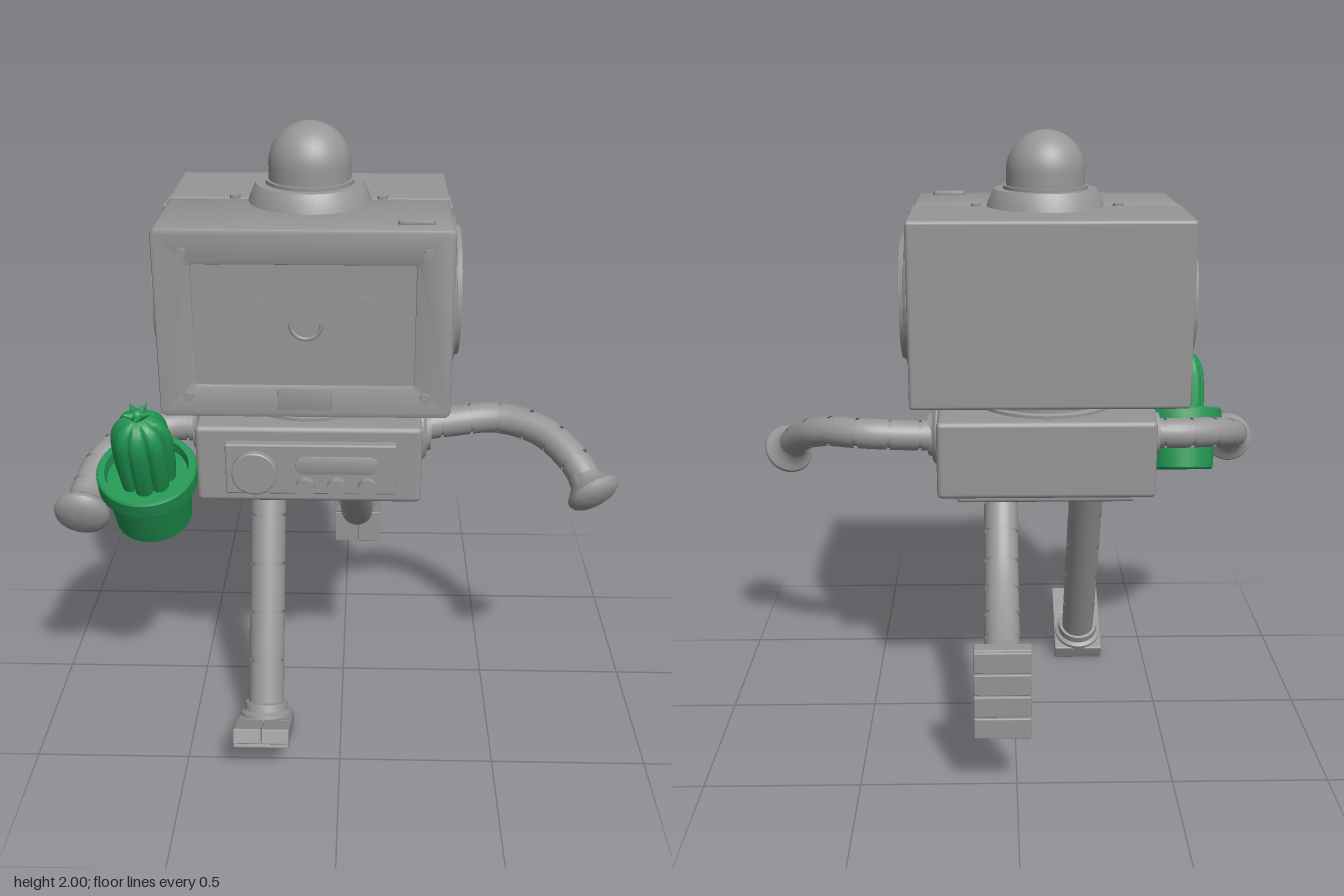
import * as THREE from 'three';
import { toCreasedNormals } from 'three/addons/utils/BufferGeometryUtils.js';
import { RoundedBoxGeometry } from 'three/addons/geometries/RoundedBoxGeometry.js';

const V = (x, y, z) => new THREE.Vector3(x, y, z);
const metal = new THREE.MeshStandardMaterial({ color: 0x969696, side: THREE.DoubleSide });
const green = new THREE.MeshStandardMaterial({ color: 0x209452, side: THREE.DoubleSide });
const UP = V(0, 1, 0), FRONT = V(0, 0, 1);
const CX = -0.105, CZ = 0.045; // centre of head and torso

function add(parent, name, geometry, pos = V(0, 0, 0), material = metal) {
  const mesh = new THREE.Mesh(geometry, material);
  mesh.name = name;
  mesh.position.copy(pos);
  parent.add(mesh);
  return mesh;
}

function box(parent, name, w, h, d, pos, r = 0.01) {
  return add(parent, name, new RoundedBoxGeometry(w, h, d, 2, r), pos);
}

// Turned part: profile [radius, height] pairs, axis pointing along dir
function turned(parent, name, profile, pos, dir = UP, material = metal, sides = 40) {
  const lathe = new THREE.LatheGeometry(profile.map(p => new THREE.Vector2(...p)), sides);
  const mesh = add(parent, name, toCreasedNormals(lathe, 0.6), pos, material);
  mesh.quaternion.setFromUnitVectors(UP, dir.clone().normalize());
  return mesh;
}

const disc = (parent, name, r, h, pos, dir = FRONT) =>
  turned(parent, name, [[0, 0], [r, 0], [r, h], [0, h]], pos, dir, metal, 28);

function roundedRect(w, h, r, Type = THREE.Shape) {
  const s = new Type(), x = w / 2, y = h / 2;
  s.moveTo(-x + r, -y);
  s.absarc(x - r, -y + r, r, -Math.PI / 2, 0);
  s.absarc(x - r, y - r, r, 0, Math.PI / 2);
  s.absarc(-x + r, y - r, r, Math.PI / 2, Math.PI);
  s.absarc(-x + r, -y + r, r, Math.PI, Math.PI * 1.5);
  s.closePath();
  return s;
}

function extrude(shape, depth, bevel) {
  return toCreasedNormals(new THREE.ExtrudeGeometry(shape, {
    depth: depth - bevel * 2, bevelThickness: bevel, bevelSize: bevel, bevelOffset: -bevel,
    bevelSegments: 2, curveSegments: 8,
  }).translate(0, 0, bevel), 0.5);
}

// Ribbed hose: short sleeves over a thinner core
function hose(parent, name, points, r, count) {
  const group = new THREE.Group();
  group.name = name;
  parent.add(group);
  const curve = new THREE.CatmullRomCurve3(points.map(p => V(...p)));
  add(group, 'hoseCore', new THREE.TubeGeometry(curve, 48, r * 0.87, 20));
  const gap = 0.005 / curve.getLength();
  for (let i = 0; i < count; i++) {
    const a = i / count + gap, b = (i + 1) / count - gap;
    const part = [0, 1, 2, 3, 4].map(k => curve.getPointAt(a + (b - a) * k / 4));
    add(group, 'hoseSleeve', new THREE.TubeGeometry(new THREE.CatmullRomCurve3(part), 10, r, 24));
  }
  return curve;
}

function arm(parent, name, side, points, shoulder) {
  const curve = hose(parent, name, points, 0.051, 7);
  turned(parent, name + 'Socket', [[0.105, 0], [0.105, 0.012], [0.09, 0.025], [0.075, 0.025], [0.07, 0.04],
    [0.045, 0.04]], shoulder, V(side, 0, 0));
  turned(parent, name + 'Hand', [[0.05, -0.05], [0.055, -0.025], [0.072, -0.005], [0.085, 0.008], [0.087, 0.02],
    [0.08, 0.034], [0.06, 0.047], [0.03, 0.055], [0, 0.057]], curve.getPoint(1), curve.getTangent(1));
}

// Foot: origin on the sole under the ankle, toe along +z
function foot(parent, name, pos, tilt) {
  const g = new THREE.Group();
  g.name = name;
  g.position.copy(pos);
  g.rotation.x = tilt;
  parent.add(g);
  box(g, 'footCore', 0.165, 0.045, 0.285, V(0, 0.031, 0.065), 0.005);
  box(g, 'heel', 0.178, 0.048, 0.172, V(0, 0.037, 0.002), 0.006);
  for (const s of [-1, 1]) box(g, 'toe', 0.0875, 0.048, 0.13, V(s * 0.0452, 0.037, 0.151), 0.004);
  for (let i = 0; i < 4; i++) box(g, 'tread', 0.176, 0.022, 0.069, V(0, 0.011, -0.047 + i * 0.0747), 0.004);
  turned(g, 'ankle', [[0.085, 0.055], [0.085, 0.072], [0.072, 0.08], [0.07, 0.105], [0.05, 0.108]], V(0, 0, 0));
}

function buildHead(root) {
  const head = new THREE.Group();
  head.name = 'head';
  root.add(head);
  const W = 0.864, H = 0.577, Y = 1.4765;
  // Front shell with a window, back shell, and a fine seam between them
  const shell = roundedRect(W, H, 0.02);
  shell.holes.push(roundedRect(0.64, 0.365, 0.006, THREE.Path));
  add(head, 'frontShell', extrude(shell, 0.345, 0.01), V(CX, Y, 0.048));
  box(head, 'backShell', W, H, 0.343, V(CX, Y, -0.1295), 0.012);
  box(head, 'seamCore', W - 0.006, H - 0.006, 0.2, V(CX, Y, CZ), 0.01);
  box(head, 'screen', 0.66, 0.385, 0.3, V(CX, Y, 0.237), 0.002);
  // Face
  for (const s of [-1, 1]) disc(head, 'eye', 0.09, 0.004, V(CX + s * 0.16, 1.48, 0.386));
  const smile = new THREE.TorusGeometry(0.045, 0.006, 8, 24, Math.PI).rotateZ(Math.PI);
  add(head, 'smile', smile, V(CX + 0.005, 1.482, 0.387));
  add(head, 'labelFrame', extrude(roundedRect(0.16, 0.07, 0.006), 0.01, 0.002), V(CX, 1.25, 0.387));
  for (const x of [-0.45, 0.25]) for (const y of [1.255, 1.695])
    disc(head, 'screw', 0.016, 0.012, V(x, y, 0.391));
  // Top fittings
  for (const x of [-0.33, 0.12]) disc(head, 'topScrew', 0.016, 0.01, V(x, 1.763, 0.035), UP);
  const slot = add(head, 'topButton', extrude(roundedRect(0.105, 0.025, 0.012), 0.016, 0.003), V(0.215, 1.762, 0.327));
  slot.rotation.x = -Math.PI / 2;
  turned(head, 'domeCollar', [[0.188, 0], [0.183, 0.015], [0.168, 0.05], [0.163, 0.057], [0.135, 0.057],
    [0.135, 0.068], [0.12, 0.068]], V(-0.1, 1.762, CZ + 0.005));
  const dome = [[0.125, 0]];
  for (let i = 0; i <= 14; i++) dome.push([0.125 * Math.cos(i * Math.PI / 28), 0.055 + 0.125 * Math.sin(i * Math.PI / 28)]);
  turned(head, 'dome', dome, V(-0.1, 1.82, CZ + 0.005));
  // Round ears with a ball in a bowl
  for (const s of [-1, 1]) {
    const at = V(CX + s * 0.43, 1.475, 0.04);
    turned(head, 'ear', [[0.238, -0.01], [0.238, 0.01], [0.23, 0.018], [0.206, 0.021], [0.2, 0.035], [0.162, 0.035],
      [0.155, 0.03], [0.135, 0.008], [0.1, 0.003], [0, 0.003]], at, V(s, 0, 0));
    add(head, 'earBall', new THREE.SphereGeometry(0.115, 32, 20).scale(0.32, 1, 1), at);
    box(head, 'earTab', 0.01, 0.07, 0.14, V(CX + s * 0.43, 1.725, CZ), 0.004);
  }
}

function buildTorso(root) {
  const torso = new THREE.Group();
  torso.name = 'torso';
  root.add(torso);
  turned(torso, 'neck', [[0.235, 0], [0.235, 0.015], [0.222, 0.02], [0.222, 0.08]], V(CX, 1.12, CZ));
  box(torso, 'body', 0.7, 0.255, 0.56, V(-0.1, 0.9975, 0.05), 0.016);
  box(torso, 'underPlate', 0.58, 0.06, 0.36, V(-0.1, 0.857, 0.03), 0.012);
  // Control panel
  const panel = new THREE.Group();
  panel.name = 'controlPanel';
  torso.add(panel);
  box(panel, 'panelPlate', 0.525, 0.168, 0.05, V(-0.0925, 0.9975, 0.335), 0.006);
  turned(panel, 'dial', [[0.07, 0], [0.07, 0.022], [0.066, 0.025], [0, 0.025]], V(-0.265, 0.992, 0.358), FRONT);
  add(panel, 'displaySlot', extrude(roundedRect(0.255, 0.058, 0.028), 0.012, 0.002), V(-0.012, 1.015, 0.355));
  for (const x of [-0.11, -0.0125, 0.083]) disc(panel, 'button', 0.029, 0.025, V(x, 0.945, 0.358));
}

function buildCactus(root) {
  const plant = new THREE.Group();
  plant.name = 'pottedCactus';
  plant.position.set(-0.6, 0.79, 0.275);
  plant.rotation.x = 0.355;
  root.add(plant);
  turned(plant, 'pot', [[0, 0], [0.115, 0], [0.121, 0.006], [0.134, 0.155], [0.15, 0.155], [0.155, 0.162], [0.155, 0.212],
    [0.15, 0.218], [0.13, 0.218], [0.125, 0.185], [0, 0.185]], V(0, 0, 0), UP, green);
  // Ribbed stem, one rib facing forward
  const profile = [[0.087, 0.17], [0.094, 0.25], [0.094, 0.33], [0.088, 0.375], [0.07, 0.41], [0.04, 0.432], [0, 0.44]];
  const spline = new THREE.SplineCurve(profile.map(p => new THREE.Vector2(...p)));
  const stem = new THREE.LatheGeometry(spline.getPoints(20), 64);
  const p = stem.attributes.position;
  for (let i = 0; i < p.count; i++) {
    const k = 0.78 + 0.22 * Math.sqrt(Math.abs(Math.cos(4 * Math.atan2(p.getX(i), p.getZ(i)))));
    p.setXYZ(i, p.getX(i) * k, p.getY(i), p.getZ(i) * k);
  }
  add(plant, 'stem', toCreasedNormals(stem, 0.7), V(0, 0, 0), green);
  // Flower
  for (let i = 0; i < 5; i++) {
    const petal = new THREE.ConeGeometry(0.02, 0.05, 8).translate(0, 0.025, 0).rotateX(1.15).rotateY(i * Math.PI * 0.4);
    add(plant, 'petal', petal, V(0, 0.442, 0), green);
  }
  add(plant, 'flowerCentre', new THREE.SphereGeometry(0.02, 16, 10), V(0, 0.445, 0), green);
}

export function createModel() {
  const root = new THREE.Group();
  root.name = 'robot';
  buildHead(root);
  buildTorso(root);
  buildCactus(root);

  arm(root, 'leftArm', 1, [[0.22, 1.0, 0.04], [0.36, 1.01, 0.012], [0.51, 1.02, 0.004], [0.65, 1.005, 0.075],
    [0.745, 0.95, 0.18], [0.79, 0.89, 0.25]], V(0.248, 1.0, 0.05));
  arm(root, 'rightArm', -1, [[-0.42, 1.0, 0.05], [-0.57, 1.0, 0.05], [-0.69, 0.985, 0.105], [-0.765, 0.95, 0.2],
    [-0.793, 0.91, 0.31], [-0.797, 0.875, 0.395]], V(-0.448, 1.0, 0.05));

  // Legs: right one straight and planted, left one swinging back
  hose(root, 'rightLeg', [[-0.25, 0.85, 0.04], [-0.25, 0.49, 0.201], [-0.25, 0.11, 0.371]], 0.059, 5);
  hose(root, 'leftLeg', [[0.045, 0.85, 0.07], [0.045, 0.79, 0.03], [0.045, 0.67, -0.075], [0.045, 0.555, -0.205],
    [0.045, 0.475, -0.365], [0.045, 0.44, -0.52]], 0.057, 7);
  for (const x of [-0.25, 0.045])
    turned(root, 'hipSocket', [[0.06, -0.03], [0.08, -0.03], [0.085, -0.018], [0.098, -0.015], [0.102, 0], [0.102, 0.015]],
      V(x, 0.835, 0.05));
  foot(root, 'rightFoot', V(-0.25, 0.034, 0.41), -0.44);
  foot(root, 'leftFoot', V(0.045, 0.44, -0.605), Math.PI / 2);
  return root;
}
